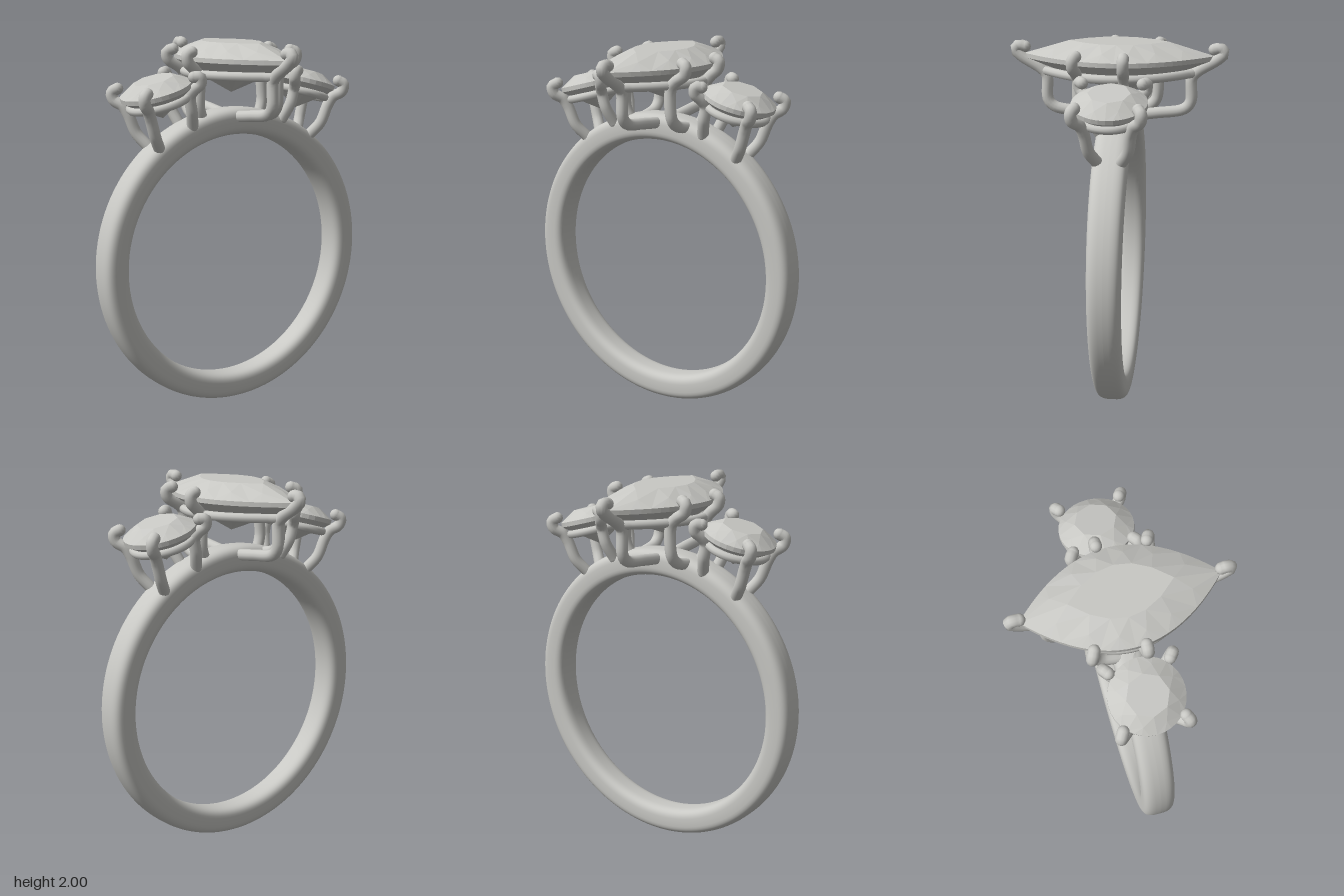
import * as THREE from 'three';
import { mergeGeometries } from 'three/addons/utils/BufferGeometryUtils.js';

const V = (x, y, z) => new THREE.Vector3(x, y, z);
const silver = new THREE.MeshStandardMaterial({ color: 0xc8c8c4 });
silver.name = 'silver';

function mesh(name, geometry) {
  const m = new THREE.Mesh(geometry, silver);
  m.name = name;
  return m;
}

// Round wire along a path, with ball ends
function prong(name, points, r) {
  const path = points.map(p => V(...p));
  const curve = new THREE.CatmullRomCurve3(path, false, 'centripetal');
  const parts = [new THREE.TubeGeometry(curve, 40, r, 12)];
  for (const end of [path[0], path[path.length - 1]]) {
    parts.push(new THREE.SphereGeometry(r, 12, 8).translate(end.x, end.y, end.z));
  }
  return mesh(name, mergeGeometries(parts));
}

// Closed wire following an outline
function rail(name, outline, scale, y, r) {
  const pts = [];
  for (let i = 0; i < 48; i++) {
    const [x, z] = outline(i / 48);
    pts.push(V(x * scale, y, z * scale));
  }
  const curve = new THREE.CatmullRomCurve3(pts, true, 'centripetal');
  return mesh(name, new THREE.TubeGeometry(curve, 96, r, 10, true));
}

// Outlines: t runs once round, 0 to 1, giving [x, z]
const round = radius => t =>
  [radius * Math.cos(t * Math.PI * 2), radius * Math.sin(t * Math.PI * 2)];
const marquise = (a, b) => t => {
  const u = (((t + 0.25) % 1) + 1) % 1;
  const side = u < 0.5 ? 1 : -1;
  const v = side * (4 * (u % 0.5) - 1);
  return [side * a * (1 - v * v), b * v];
};

// Brilliant-cut stone: table, star, kite and girdle facets above, kites below
function gem(name, outline, n, table, crown, depth) {
  const pos = [], half = 0.012, sub = 4;
  const at = (i, s, y) => {
    const [x, z] = outline(i / n);
    return V(x * s, y, z * s);
  };
  const tri = (a, b, c) => {
    const normal = b.clone().sub(a).cross(c.clone().sub(a));
    const outward = normal.dot(a.clone().add(b).add(c)) > 0;
    for (const p of outward ? [a, b, c] : [a, c, b]) pos.push(p.x, p.y, p.z);
  };
  const top = V(0, crown, 0), culet = V(0, -depth, 0);
  for (let i = 0; i < n; i++) {
    const t0 = at(i, table, crown), t1 = at(i + 1, table, crown);
    const mid = at(i + 0.5, 0.8, crown * 0.58);
    const low = at(i + 0.5, 0.42, -half - (depth - half) * 0.61);
    const up = k => at(i + k / sub, 1, half), down = k => at(i + k / sub, 1, -half);
    tri(top, t0, t1);
    tri(t0, t1, mid);
    tri(t0, mid, up(0));
    tri(t1, mid, up(sub));
    tri(culet, low, down(0));
    tri(culet, low, down(sub));
    for (let k = 0; k < sub; k++) {
      tri(mid, up(k), up(k + 1));
      tri(up(k), down(k), down(k + 1));
      tri(up(k), down(k + 1), up(k + 1));
      tri(low, down(k), down(k + 1));
    }
  }
  const g = new THREE.BufferGeometry();
  g.setAttribute('position', new THREE.Float32BufferAttribute(pos, 3));
  g.computeVertexNormals();
  return mesh(name, g);
}

// Rounded band, slightly wider towards the top
function band() {
  const pts = [], pow = c => Math.sign(c) * Math.abs(c) ** 0.62;
  for (let i = 0; i <= 40; i++) {
    const a = (i / 40) * Math.PI * 2;
    pts.push(new THREE.Vector2(0.749 + 0.073 * pow(Math.cos(a)), 0.087 * pow(Math.sin(a))));
  }
  const g = new THREE.LatheGeometry(pts, 128).rotateX(Math.PI / 2);
  const p = g.attributes.position;
  for (let i = 0; i < p.count; i++) p.setZ(i, p.getZ(i) * (1 + 0.1 * p.getY(i)));
  return mesh('band', g.translate(0, 0.822, 0));
}

function centreSetting() {
  const g = new THREE.Group();
  g.name = 'centreSetting';
  const stone = gem('centreStone', marquise(0.272, 0.51), 12, 0.52, 0.085, 0.19);
  stone.position.y = 1.915;
  g.add(stone, rail('centreRail', marquise(0.235, 0.4), 1, 1.835, 0.024));
  // Each half repeats after a half turn
  for (const s of [1, -1]) {
    const turn = points => points.map(([x, y, z]) => [x * s, y, z * s]);
    g.add(prong('endProng', turn([
      [0, 1.595, 0.04], [0, 1.615, 0.2], [0, 1.64, 0.35], [0, 1.68, 0.385],
      [0, 1.81, 0.39], [0, 1.845, 0.42], [0, 1.91, 0.525], [0, 1.945, 0.558],
      [0, 1.968, 0.54], [0, 1.962, 0.505]]), 0.031));
    g.add(prong('sideProng', turn([
      [0.18, 1.59, 0.06], [0.175, 1.615, 0.15], [0.172, 1.66, 0.19],
      [0.175, 1.82, 0.2], [0.21, 1.86, 0.205], [0.268, 1.9, 0.215],
      [0.275, 1.94, 0.215], [0.245, 1.955, 0.2]]), 0.031));
    g.add(prong('middleProng', turn([
      [0.2, 1.58, -0.03], [0.23, 1.66, -0.04], [0.232, 1.82, -0.045],
      [0.26, 1.86, -0.047], [0.302, 1.9, -0.05], [0.308, 1.94, -0.05],
      [0.28, 1.955, -0.05]]), 0.031));
  }
  return g;
}

function sideSetting(name) {
  const g = new THREE.Group();
  g.name = name;
  // Stone and rail lean outwards
  const head = new THREE.Group();
  head.name = 'sideHead';
  head.position.set(0.468, 1.757, 0);
  head.rotation.z = -0.27;
  head.add(gem('sideStone', round(0.194), 8, 0.56, 0.065, 0.15));
  head.add(rail('sideRail', round(0.157), 1, -0.06, 0.022));
  g.add(head);
  for (const s of [1, -1]) {
    g.add(prong('outerProng', [
      [0.488, 1.46, 0.06 * s], [0.535, 1.53, 0.1 * s], [0.572, 1.63, 0.118 * s],
      [0.595, 1.675, 0.135 * s], [0.63, 1.705, 0.168 * s],
      [0.638, 1.745, 0.174 * s], [0.612, 1.765, 0.158 * s]], 0.031));
    g.add(prong('innerProng', [
      [0.29, 1.565, 0.07 * s], [0.318, 1.65, 0.108 * s], [0.335, 1.73, 0.118 * s],
      [0.325, 1.765, 0.14 * s], [0.302, 1.8, 0.17 * s],
      [0.308, 1.835, 0.174 * s], [0.333, 1.835, 0.155 * s]], 0.031));
  }
  return g;
}

export function createModel() {
  const model = new THREE.Group();
  model.name = 'threeStoneRing';
  const right = sideSetting('rightSetting');
  right.rotation.y = Math.PI;
  model.add(band(), centreSetting(), sideSetting('leftSetting'), right);
  return model;
}
